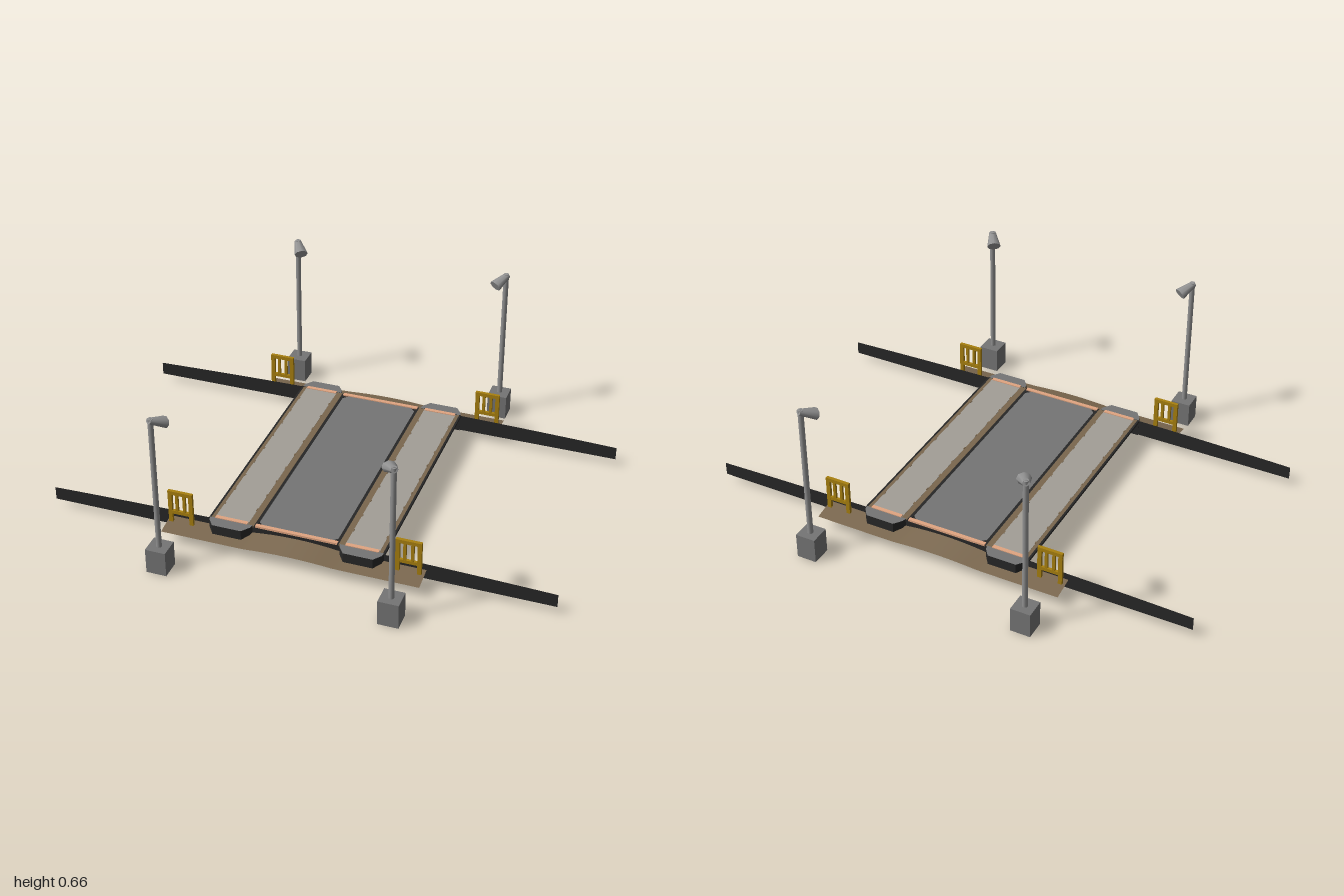
import * as THREE from 'three';

const mat = (name, color, side = THREE.FrontSide) => {
  const m = new THREE.MeshStandardMaterial({ color, side });
  m.name = name;
  return m;
};

export function createModel() {
  const black = mat('black steel', 0x272727, THREE.DoubleSide);
  const grey = mat('dark grey', 0x757575);
  const light = mat('light grey concrete', 0xa29e97);
  const brown = mat('brown earth', 0x7a674e, THREE.DoubleSide);
  const salmon = mat('salmon trim', 0xe0a581);
  const yellow = mat('yellow paint', 0xa8800f);
  const steel = mat('pole grey', 0x929292);

  const model = new THREE.Group();
  const add = (parent, name, geo, material, x = 0, y = 0, z = 0) => {
    const mesh = new THREE.Mesh(geo, material);
    mesh.name = name;
    mesh.position.set(x, y, z);
    parent.add(mesh);
    return mesh;
  };
  const box = (parent, name, material, w, h, d, x, y, z) =>
    add(parent, name, new THREE.BoxGeometry(w, h, d), material, x, y, z);
  // Flat outline in x and z, extruded downwards from its top
  const slab = (points, depth) => {
    const shape = new THREE.Shape(points.map(([x, z]) => new THREE.Vector2(x, z)));
    return new THREE.ExtrudeGeometry(shape, { depth, bevelEnabled: false }).rotateX(Math.PI / 2);
  };

  // Centre panel with cut corners, framed in black
  const c = 0.02, px = 0.157, pz = 0.485;
  const panel = slab([
    [-px + c, -pz], [px - c, -pz], [px, -pz + c], [px, pz - c],
    [px - c, pz], [-px + c, pz], [-px, pz - c], [-px, -pz + c],
  ], 0.008);
  add(model, 'centrePanel', panel, grey, 0, 0.1, 0);
  for (const s of [-1, 1]) {
    box(model, 'panelEndFrame', black, 0.33, 0.006, 0.03, 0, 0.0955, s * 0.485);
    box(model, 'panelSideFrame', black, 0.012, 0.008, 1.0, s * 0.163, 0.096, 0);
  }

  // Side tracks with edge strips and small fixing tabs
  for (const s of [-1, 1]) {
    const track = new THREE.Group();
    track.name = 'sideTrack';
    model.add(track);
    box(track, 'trackSurface', light, 0.134, 0.009, 0.99, s * 0.26, 0.0975, 0);
    for (const [x, w, t] of [[0.181, 0.024, 0.1945], [0.334, 0.014, 0.3255]]) {
      box(track, 'trackEdge', brown, w, 0.008, 1.0, s * x, 0.097, 0);
      for (let i = -4; i <= 4; i++) {
        box(track, 'fixingTab', brown, 0.004, 0.001, 0.014, s * t, 0.1024, i * 0.1);
      }
    }
    box(track, 'outerLip', black, 0.008, 0.009, 1.0, s * 0.345, 0.0965, 0);
  }

  // Both ends of the crossing are alike
  for (const turn of [0, Math.PI]) {
    const end = new THREE.Group();
    end.name = turn ? 'backEnd' : 'frontEnd';
    end.rotation.y = turn;
    model.add(end);

    // Long crowned side wall
    const wall = new THREE.PlaneGeometry(2, 0.07, 24, 1);
    const wp = wall.attributes.position;
    for (let i = 0; i < wp.count; i++) {
      const x = wp.getX(i);
      wp.setY(i, wp.getY(i) > 0 ? 0.1 - 0.016 * x * x : 0.03);
    }
    wall.computeVertexNormals();
    add(end, 'sideWall', wall, black, 0, 0, 0.5);

    // Sloping apron, arched in the middle
    const apron = new THREE.PlaneGeometry(1.02, 0.09, 24, 1).rotateX(-Math.PI / 2);
    const ap = apron.attributes.position;
    for (let i = 0; i < ap.count; i++) {
      const x = ap.getX(i);
      ap.setY(i, ap.getZ(i) > 0 ? Math.max(0.055, 0.063 - 0.25 * x * x) : Math.max(0.07, 0.083 - 0.4 * x * x));
    }
    apron.computeVertexNormals();
    add(end, 'apron', apron, brown, 0, 0, 0.546);

    box(end, 'centreTrim', salmon, 0.326, 0.008, 0.016, 0, 0.1, 0.493);

    for (const s of [-1, 1]) {
      // Tapered end block of each track
      const cap = slab([[-0.086, 0], [0.086, 0], [0.082, 0.018], [0.058, 0.05], [-0.058, 0.05], [-0.082, 0.018]], 0.074);
      add(end, 'trackEndBlock', cap, [grey, black], s * 0.26, 0.102, 0.498);
      box(end, 'trackTrim', salmon, 0.13, 0.008, 0.016, s * 0.26, 0.101, 0.493);

      // Railing
      const rail = new THREE.Group();
      rail.name = 'railing';
      rail.position.set(s * 0.45, 0, 0.531);
      end.add(rail);
      for (const x of [-0.042, 0.042]) box(rail, 'railPost', yellow, 0.016, 0.135, 0.012, x, 0.1375, 0);
      for (const x of [-0.015, 0.015]) box(rail, 'railBar', yellow, 0.011, 0.085, 0.01, x, 0.157, 0);
      box(rail, 'topRail', yellow, 0.1, 0.015, 0.013, 0, 0.2025, 0);
      box(rail, 'lowerRail', yellow, 0.09, 0.014, 0.011, 0, 0.115, 0);

      // Lamp post with its flared head aimed inwards and down
      const lamp = new THREE.Group();
      lamp.name = 'lampPost';
      end.add(lamp);
      box(lamp, 'lampBase', grey, 0.08, 0.102, 0.08, s * 0.45, 0.051, 0.731);
      add(lamp, 'lampPole', new THREE.CylinderGeometry(0.011, 0.011, 0.56, 8), steel, s * 0.45, 0.38, 0.733);
      const from = new THREE.Vector3(s * 0.454, 0.653, 0.74);
      const to = new THREE.Vector3(s * 0.418, 0.624, 0.684);
      const dir = to.clone().sub(from);
      const headGeo = new THREE.CylinderGeometry(0.028, 0.014, dir.length(), 8);
      headGeo.rotateX(Math.PI / 2).scale(1, 0.78, 1);
      const head = add(lamp, 'lampHead', headGeo, steel);
      head.position.copy(from).add(to).multiplyScalar(0.5);
      dir.normalize();
      head.rotation.set(Math.asin(-dir.y), Math.atan2(dir.x, dir.z), 0, 'YXZ');
    }
  }
  return model;
}
